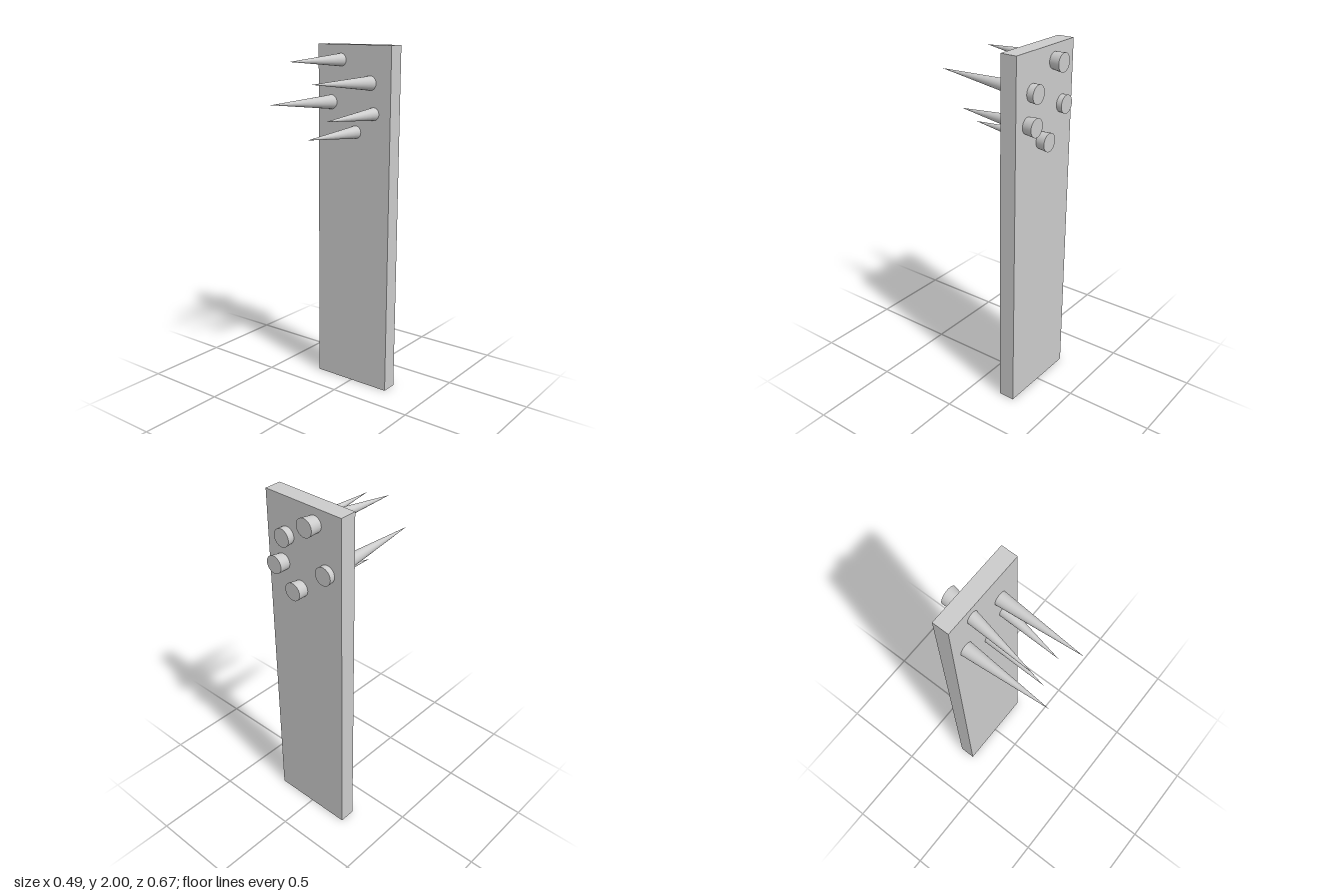
import * as THREE from 'three';

export function createModel() {
  const group = new THREE.Group();
  const material = new THREE.MeshStandardMaterial({ color: 0xcccccc });

  // Tall flat plank, leaning back very slightly
  const plank = new THREE.Mesh(new THREE.BoxGeometry(0.494, 2, 0.094), material);
  plank.name = 'plank';
  plank.position.set(0, 1, -0.221);
  plank.rotation.x = -0.0035;
  group.add(plank);

  // Slanted spikes driven through the plank: base centre and tip of each
  const spikes = [
    [[-0.068, 1.915, -0.335], [-0.138, 1.918, 0.205]],
    [[0.113, 1.79, -0.311], [0.104, 1.82, 0.32]],
    [[-0.154, 1.674, -0.303], [-0.162, 1.703, 0.33]],
    [[0.154, 1.634, -0.331], [0.095, 1.622, 0.195]],
    [[0.033, 1.523, -0.327], [-0.025, 1.516, 0.198]],
  ];
  spikes.forEach(([base, tip], i) => {
    const length = tip[2] - base[2];
    const geometry = new THREE.ConeGeometry(0.0505, length, 32);
    geometry.rotateX(Math.PI / 2).translate(0, 0, length / 2);
    // Shear the cone so its base stays parallel to the plank
    const slant = new THREE.Vector3((tip[0] - base[0]) / length, (tip[1] - base[1]) / length, 1);
    geometry.applyMatrix4(new THREE.Matrix4()
      .makeBasis(new THREE.Vector3(1, 0, 0), new THREE.Vector3(0, 1, 0), slant)
      .setPosition(...base));
    const spike = new THREE.Mesh(geometry, material);
    spike.name = `spike${i + 1}`;
    group.add(spike);
  });

  return group;
}
